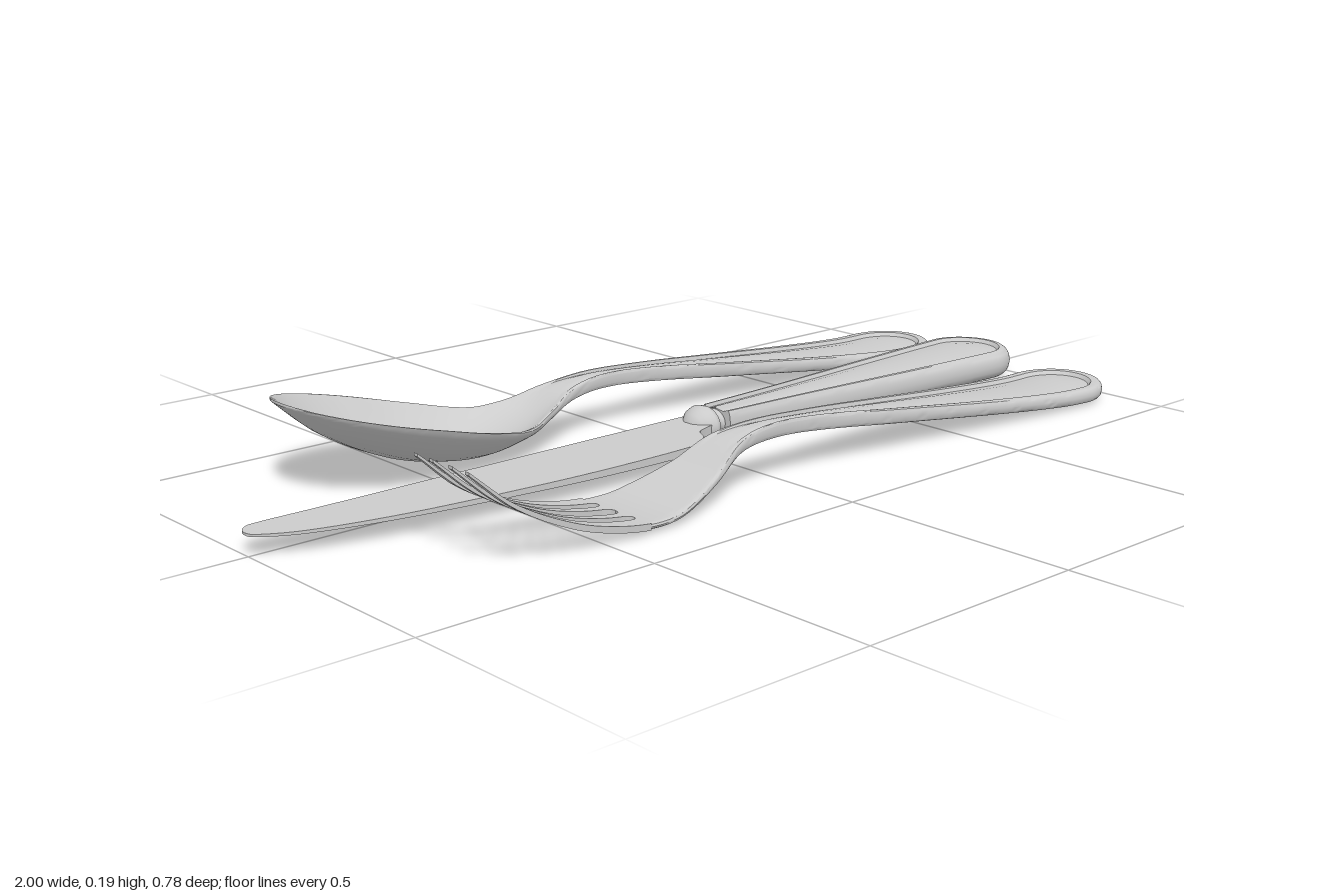
import * as THREE from 'three';
import { toCreasedNormals } from 'three/addons/utils/BufferGeometryUtils.js';

const material = new THREE.MeshStandardMaterial({ color: 0xcccccc, side: THREE.DoubleSide });
const { lerp, smoothstep, clamp } = THREE.MathUtils;

// Smooth function through [x, value] keys
function curve(keys) {
  const slope = (i) => {
    const a = keys[Math.max(i - 1, 0)], b = keys[Math.min(i + 1, keys.length - 1)];
    return (b[1] - a[1]) / (b[0] - a[0]);
  };
  return (x) => {
    let i = 0;
    while (i < keys.length - 2 && x > keys[i + 1][0]) i++;
    const [x0, y0] = keys[i], [x1, y1] = keys[i + 1];
    const d = x1 - x0, t = clamp((x - x0) / d, 0, 1), s = 1 - t;
    return y0 * (1 + 2 * t) * s * s + slope(i) * d * t * s * s
      + y1 * t * t * (3 - 2 * t) - slope(i + 1) * d * t * t * s;
  };
}

// Skin closed rings of [x, y, z] points that follow each other along +x
function loft(name, rings, crease = 0.6) {
  const n = rings[0].length, index = [];
  for (let i = 0; i < rings.length - 1; i++) {
    for (let j = 0; j < n; j++) {
      const a = i * n + j, b = i * n + (j + 1) % n;
      index.push(a, b, a + n, b, b + n, a + n);
    }
  }
  const last = (rings.length - 1) * n;
  for (let j = 1; j < n - 1; j++) index.push(0, j + 1, j, last, last + j, last + j + 1);
  const geo = new THREE.BufferGeometry();
  geo.setAttribute('position', new THREE.Float32BufferAttribute(rings.flat(2), 3));
  geo.setIndex(index);
  return part(name, toCreasedNormals(geo, crease));
}

function part(name, geo) {
  const mesh = new THREE.Mesh(geo, material);
  mesh.name = name;
  return mesh;
}

// Columns across a section, from one edge (-1) to the other (1)
const half = [0, 0.2, 0.4, 0.55, 0.64, 0.7, 0.76, 0.85, 0.9, 0.94, 0.98, 1];
const across = [...half.slice(1).reverse().map((f) => -f), ...half];
const edge = (f) => (f > 0.9 ? 0.5 * (1 - Math.sqrt(Math.max(0, 1 - ((f - 0.9) / 0.1) ** 2))) : 0);
// Raised border, groove and gently domed panel of the handles
const groove = curve([[0, -0.002], [0.4, -0.004], [0.64, -0.008], [0.7, -0.008], [0.76, 0], [0.9, 0], [1, 0]]);

const capX = 0.893; // centre of the round handle end

// Sections from startX to the round end; top and bottom give heights at (x, |f|)
function sections(startX, width, top, bottom, count, power = 1) {
  const rings = [];
  const ring = (place) => {
    const at = (height) => (f) => {
      const [x, z] = place(f);
      return [x, height(x, Math.abs(f)), z];
    };
    rings.push([...across.map(at(top)), ...[...across].reverse().map(at(bottom))]);
  };
  for (let i = 0; i <= count; i++) {
    const x = lerp(startX, capX, (i / count) ** power);
    ring((f) => [x, f * width(x)]);
  }
  const r = width(capX);
  for (let i = 1; i <= 14; i++) {
    const a = (i / 14) * Math.PI / 2;
    ring((f) => [capX + Math.abs(f) * r * Math.sin(a), f * r * Math.cos(a)]);
  }
  return rings;
}

// Shared side profile and handle outline of spoon and fork
const handleWidth = [[0, 0.027], [0.1, 0.03], [0.3, 0.052], [0.6, 0.083], [0.8, 0.1], [capX, 0.106], [1, 0.106]];
const handleRise = [[-0.13, 0.106], [-0.03, 0.12], [0.11, 0.113], [0.325, 0.09], [0.6, 0.06], [0.8, 0.042], [0.9, 0.039], [1, 0.042]];
const spine = curve([[-0.79, 0.195], [-0.7, 0.122], [-0.58, 0.063], [-0.48, 0.034], [-0.39, 0.022],
  [-0.32, 0.027], [-0.21, 0.064], ...handleRise]);
const thickness = curve([[-0.79, 0.006], [-0.6, 0.012], [-0.35, 0.014], [-0.2, 0.019], [0, 0.03], [0.6, 0.03], [1, 0.032]]);

function utensilRings(startX, width, rim, count, power) {
  const base = (x, f) => lerp(spine(x), rim(x), f ** 2.2);
  return sections(startX, width,
    (x, f) => base(x, f) - edge(f) * thickness(x) + groove(f) * smoothstep(x, -0.2, 0.05),
    (x, f) => base(x, f) - (1 - edge(f)) * thickness(x), count, power);
}

function makeSpoon() {
  const rim = curve([[-0.79, 0.195], [-0.55, 0.137], [-0.4, 0.098], [-0.28, 0.073], [-0.21, 0.083], ...handleRise]);
  const body = curve([[-0.55, 0.17], [-0.45, 0.164], [-0.35, 0.139], [-0.25, 0.097], [-0.2, 0.073], [-0.1, 0.039], ...handleWidth]);
  const width = (x) => (x < -0.55
    ? 0.17 * Math.max(0, 1 - ((-0.55 - x) / 0.24) ** 2.2) ** 0.5 : body(x));
  const spoon = new THREE.Group();
  spoon.name = 'spoon';
  spoon.add(loft('spoonBowlAndHandle', utensilRings(-0.79, width, rim, 100, 1.7)));
  spoon.position.z = -0.22;
  return spoon;
}

function makeFork() {
  const fork = new THREE.Group();
  fork.name = 'fork';
  const width = curve([[-0.79, 0.078], [-0.6, 0.092], [-0.42, 0.098], [-0.36, 0.097], [-0.3, 0.09],
    [-0.2, 0.064], [-0.1, 0.038], ...handleWidth]);
  const rootX = -0.42, slotEnd = 0.015;
  fork.add(loft('forkPalmAndHandle', utensilRings(rootX + slotEnd, width, spine, 80)));

  // Slot half width: widens to the tips, closes in a round end at the palm
  const slot = (x, root, tip) => (x > rootX
    ? root * Math.sqrt(Math.max(0, 1 - ((x - rootX) / slotEnd) ** 2))
    : lerp(root, tip, (rootX - x) / 0.37));
  const inner = [(x) => slot(x, 0.016, 0.022), (x) => 0.05 - slot(x, 0.012, 0.017)];
  const outer = [(x) => 0.05 + slot(x, 0.012, 0.017), width];
  const xs = [];
  for (let i = 0; i <= 24; i++) xs.push(lerp(-0.79, rootX, i / 24));
  for (let i = 1; i <= 8; i++) xs.push(rootX + slotEnd * Math.sin((i / 8) * Math.PI / 2));
  for (const side of [-1, 1]) {
    for (const [from, to] of [inner, outer]) {
      const rings = xs.map((x) => {
        const [z0, z1] = [side * from(x), side * to(x)].sort((a, b) => a - b);
        const y = spine(x), low = y - thickness(x);
        return [[x, y, z0], [x, y, z1], [x, low, z1], [x, low, z0]];
      });
      fork.add(loft('tine', rings));
    }
  }
  fork.position.z = 0.2875;
  return fork;
}

function makeKnife() {
  const knife = new THREE.Group();
  knife.name = 'knife';
  const midY = 0.041, midZ = 0.026;

  // Handle with a grooved panel on both faces
  const width = curve([[0.095, 0.043], [0.3, 0.056], [0.6, 0.083], [0.8, 0.1], [capX, 0.106], [1, 0.106]]);
  const rise = (f) => 0.03 * Math.sqrt(Math.max(0, 1 - (Math.max(0, f - 0.8) / 0.2) ** 2)) + groove(f);
  const handle = loft('knifeHandle', sections(0.095, width,
    (x, f) => midY + rise(f), (x, f) => midY - rise(f), 50));
  handle.position.z = midZ;
  knife.add(handle);

  // Oval collar between blade and handle
  const profile = [[0, 0.02], [0.014, 0.02], [0.026, 0.032], [0.036, 0.045], [0.04, 0.058], [0.037, 0.07],
    [0.028, 0.079], [0.023, 0.085], [0.025, 0.092], [0.028, 0.1], [0, 0.1]].map(([r, x]) => new THREE.Vector2(r, x));
  const collarGeo = new THREE.LatheGeometry(profile, 40).rotateZ(-Math.PI / 2).scale(1, 1, 1.22);
  const collar = part('collar', collarGeo);
  collar.position.set(0, midY, 0.022);
  knife.add(collar);

  // Blade, thinner towards the tip
  const shape = new THREE.Shape();
  shape.moveTo(0.05, -0.022);
  shape.splineThru([[-0.4, -0.031], [-0.8, -0.038], [-0.95, -0.042], [-0.985, -0.035], [-1, -0.01], [-0.985, 0.018],
    [-0.9, 0.06], [-0.72, 0.102], [-0.45, 0.135], [-0.26, 0.147], [-0.1, 0.148], [-0.05, 0.137], [-0.02, 0.11],
    [0, 0.08], [0.05, 0.064]].map(([x, z]) => new THREE.Vector2(x, z)));
  const geo = new THREE.ExtrudeGeometry(shape, { depth: 1, bevelEnabled: false, curveSegments: 90 });
  geo.rotateX(Math.PI / 2);
  const p = geo.attributes.position;
  for (let i = 0; i < p.count; i++) {
    p.setY(i, midY + (p.getY(i) + 0.5) * lerp(0.005, 0.019, (p.getX(i) + 1) / 1.05));
  }
  knife.add(part('blade', toCreasedNormals(geo, 0.6)));
  return knife;
}

export function createModel() {
  const cutlery = new THREE.Group();
  cutlery.name = 'cutlerySet';
  cutlery.add(makeSpoon(), makeKnife(), makeFork());
  return cutlery;
}
